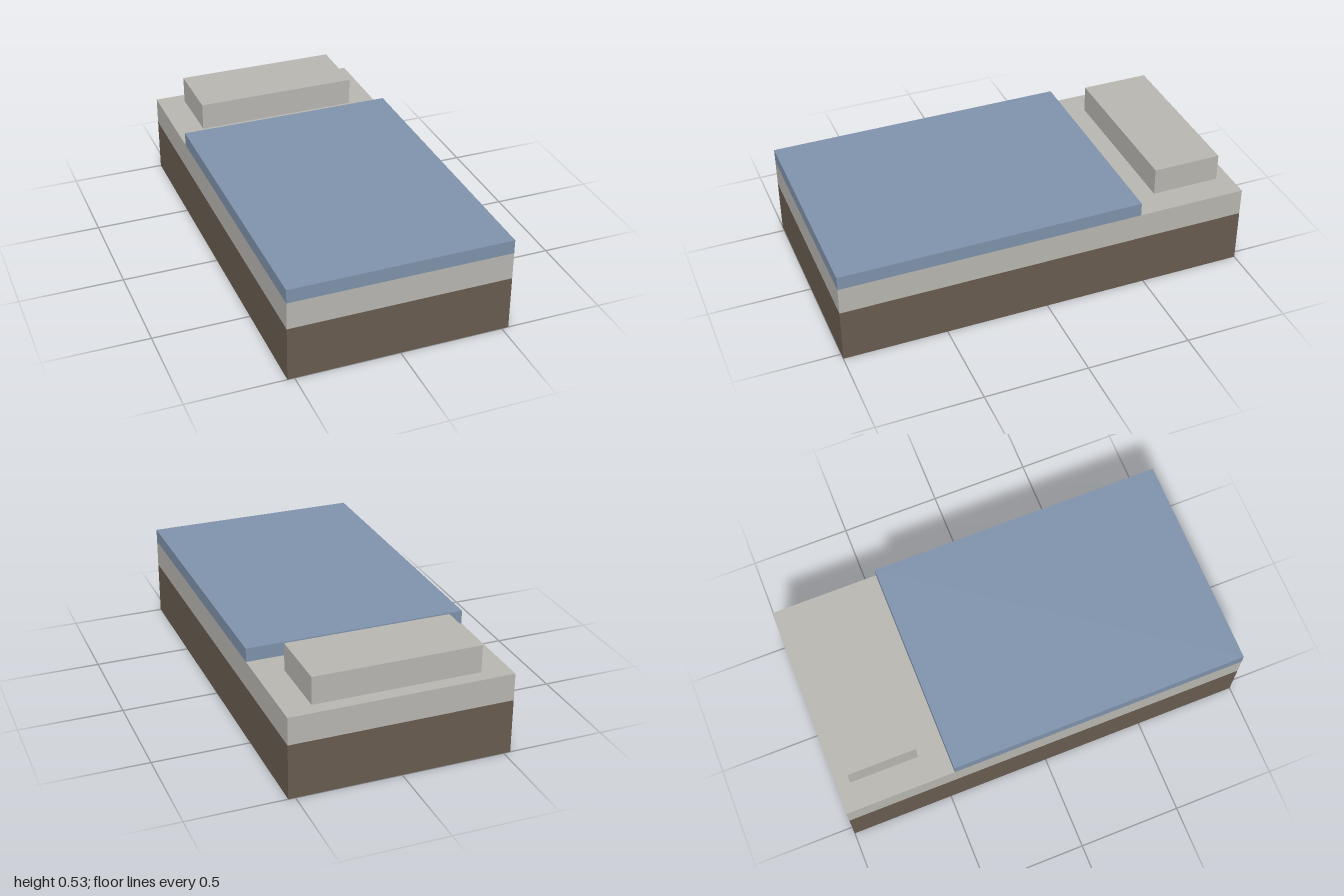
import * as THREE from 'three';

const material = (name, color) => {
  const m = new THREE.MeshStandardMaterial({ color });
  m.name = name;
  return m;
};

// Box given by its lowest and highest corners
function block(name, mat, [x0, y0, z0], [x1, y1, z1]) {
  const mesh = new THREE.Mesh(new THREE.BoxGeometry(x1 - x0, y1 - y0, z1 - z0), mat);
  mesh.name = name;
  mesh.position.set((x0 + x1) / 2, (y0 + y1) / 2, (z0 + z1) / 2);
  return mesh;
}

export function createModel() {
  const wood = material('brown wood', 0x6a5d51);
  const linen = material('pale grey linen', 0xbab8b3);
  const wool = material('blue wool', 0x8094ad);
  const w = 0.5333; // half width of the bed

  const bed = new THREE.Group();
  bed.name = 'bed';
  bed.add(
    block('bedFrame', wood, [-w, 0, -1], [w, 0.2667, 1]),
    block('mattress', linen, [-w, 0.2667, -1], [w, 0.4, 1]),
    block('blanket', wool, [-w, 0.4, -0.4667], [w, 0.4667, 1]),
    block('pillow', linen, [-0.4, 0.4, -0.9333], [0.4, 0.5333, -0.6]),
  );
  return bed;
}
